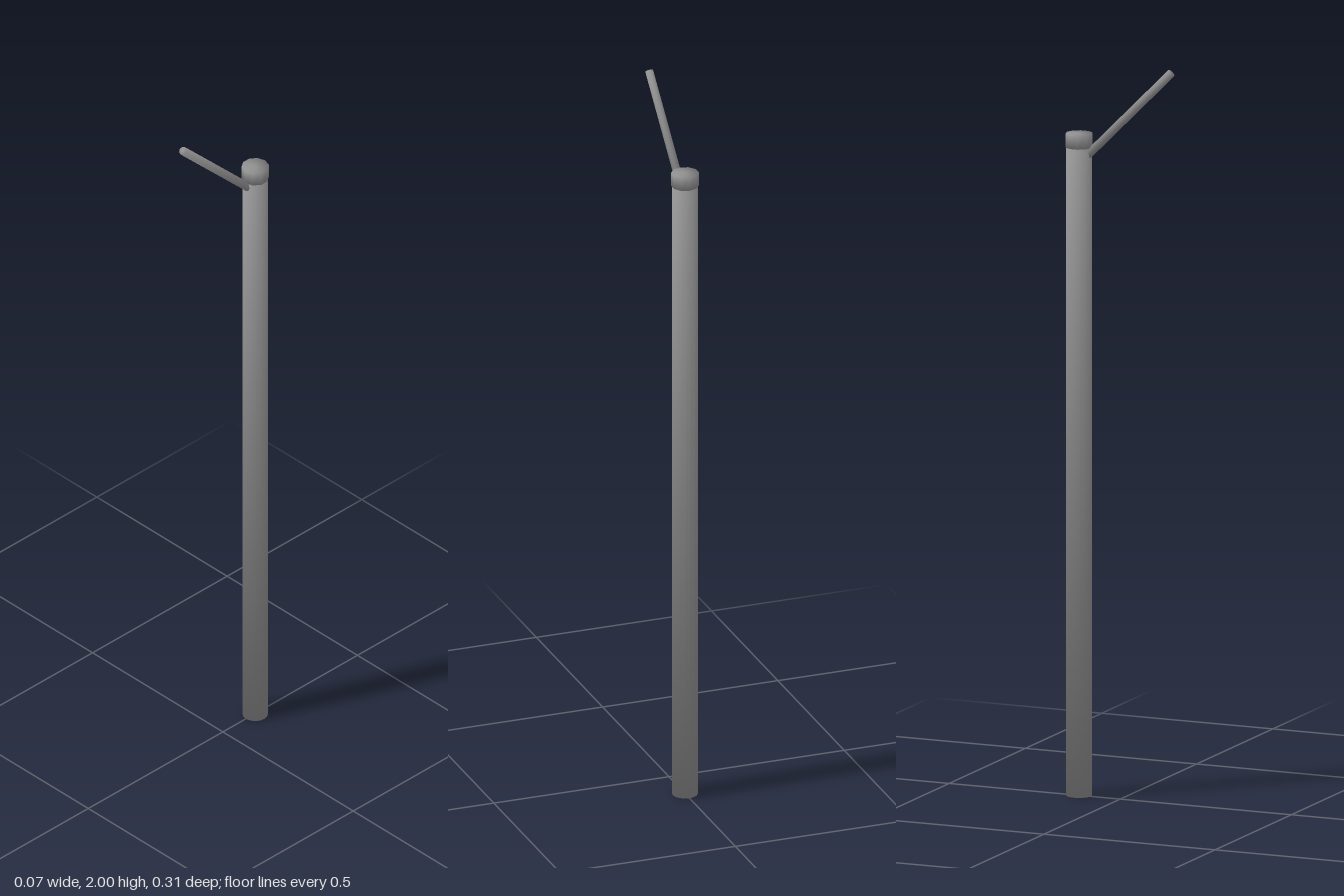
import * as THREE from 'three';
import { mergeVertices } from 'three/addons/utils/BufferGeometryUtils.js';

const POST_Z = -0.12;
const RIM_TILT = 0.84;
const material = new THREE.MeshStandardMaterial({ color: 0x909090 });

// Closed cylinder whose rim normals lean outwards, so shading flows over the ends
function softCylinder(name, radius, length, sides) {
  const raw = new THREE.CylinderGeometry(radius, radius, length, sides);
  raw.deleteAttribute('normal');
  raw.deleteAttribute('uv');
  const geometry = mergeVertices(raw);
  const position = geometry.attributes.position;
  const normals = [];
  const normal = new THREE.Vector3();
  for (let i = 0; i < position.count; i++) {
    normal.fromBufferAttribute(position, i).divideScalar(radius);
    normal.y = Math.sign(normal.y) * RIM_TILT;
    normals.push(...normal.normalize().toArray());
  }
  geometry.setAttribute('normal', new THREE.Float32BufferAttribute(normals, 3));
  const mesh = new THREE.Mesh(geometry, material);
  mesh.name = name;
  return mesh;
}

export function createModel() {
  const model = new THREE.Group();
  model.name = 'postWithArm';

  // Upright post
  const post = softCylinder('post', 0.0345, 1.78, 16);
  post.position.set(0, 0.89, POST_Z);

  // Slightly wider cap on top of the post
  const cap = softCylinder('cap', 0.037, 0.038, 10);
  cap.position.set(0, 1.787, POST_Z);

  // Thin arm rising forward at 45 degrees from inside the post
  const start = new THREE.Vector3(0, 1.735, -0.108);
  const end = new THREE.Vector3(0, 1.992, 0.149);
  const arm = softCylinder('arm', 0.0115, start.distanceTo(end), 8);
  arm.position.copy(start).lerp(end, 0.5);
  arm.rotation.x = Math.PI / 4;

  model.add(post, cap, arm);
  return model;
}
